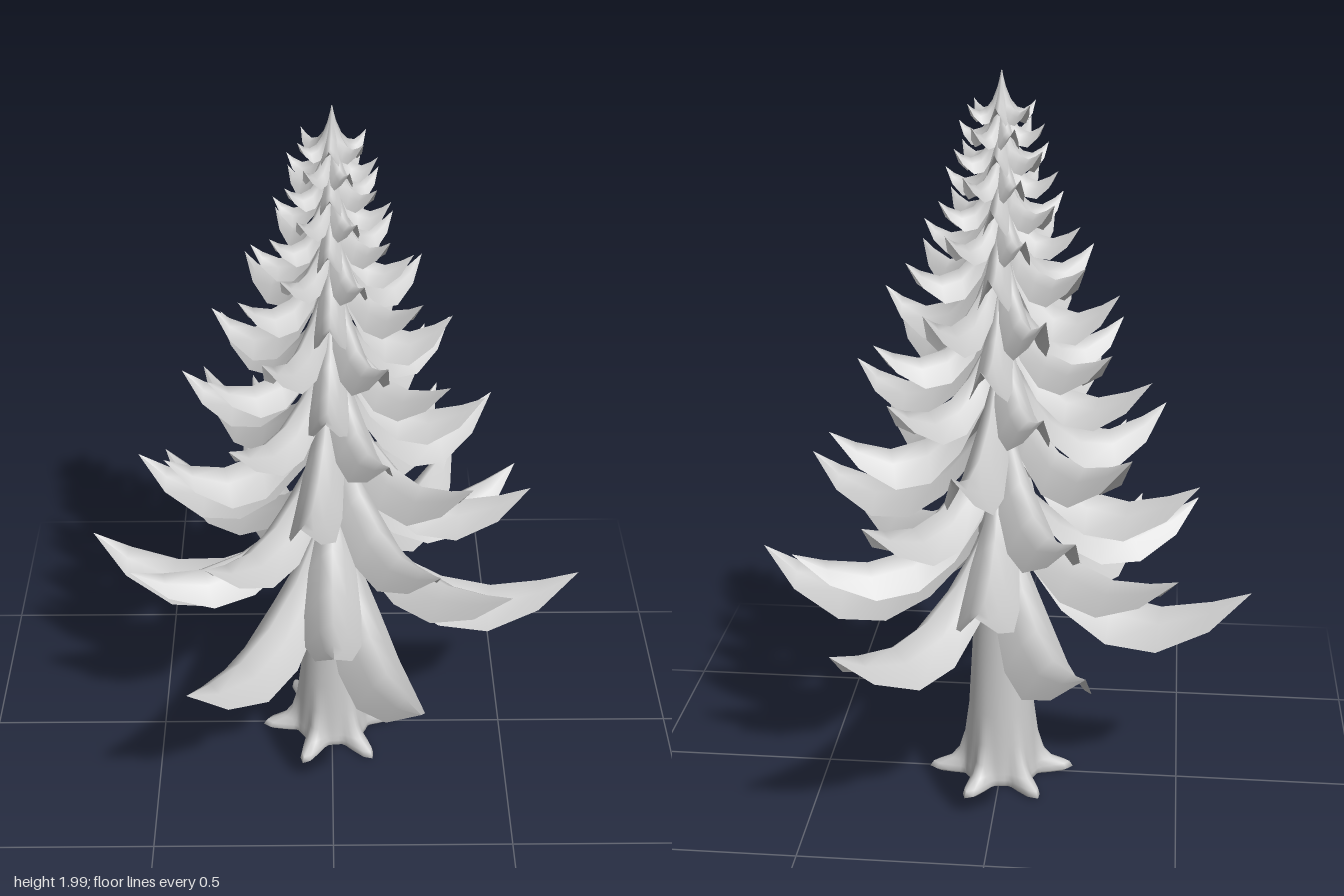
import * as THREE from 'three';
import { mergeVertices } from 'three/addons/utils/BufferGeometryUtils.js';

const ROOT_ANGLE = THREE.MathUtils.degToRad(55);

// Bough outline: distance along (share of reach), ridge and rim height
// (share of depth, measured from the tip), half width (share of widest)
const ALONG = [0, 0.12, 0.27, 0.45, 0.65, 0.85, 1];
const RIDGE = [1.5, 0.72, 0.1, -0.28, -0.4, -0.22, 0];
const RIM = [1.45, 0.25, -0.45, -0.92, -0.98, -0.6, 0];
const WIDTH = [0.08, 0.5, 0.85, 1, 0.97, 0.62, 0];

// Tiers: tip height, reach, depth, first angle in degrees (or all six)
const TIERS = [
  [0.64, 0.69, 0.17, [7, 71.5, 123, 189, 247.5, 303]],
  [0.77, 0.59, 0.14, [37, 90, 156, 215, 271, 334]],
  [0.93, 0.54, 0.15, [9, 60, 127, 189, 245, 305]],
  [1.08, 0.467, 0.16, 40],
  [1.21, 0.405, 0.13, 10],
  [1.32, 0.355, 0.12, 33],
  [1.43, 0.31, 0.13, 4],
  [1.53, 0.265, 0.11, 32],
  [1.61, 0.207, 0.085, 8],
  [1.68, 0.172, 0.08, 34],
  [1.75, 0.147, 0.07, 6],
  [1.81, 0.13, 0.065, 33],
  [1.87, 0.112, 0.06, 8],
  [1.92, 0.092, 0.053, 35],
];

// Arched leaf-like bough pointing along +x, its tip at y = 0
function boughGeometry(reach, depth) {
  const cols = ALONG.length;
  const geo = new THREE.PlaneGeometry(1, 1, cols - 1, 4);
  const pos = geo.attributes.position;
  const half = 0.012 + 0.11 * reach;
  for (let i = 0; i < pos.count; i++) {
    const c = i % cols;
    const side = (Math.floor(i / cols) - 2) / 2;
    const drop = Math.pow(Math.abs(side), 1.5);
    pos.setXYZ(
      i,
      ALONG[c] * reach,
      depth * THREE.MathUtils.lerp(RIDGE[c], RIM[c], drop),
      side * half * WIDTH[c]
    );
  }
  geo.computeVertexNormals();
  return geo;
}

// Tapered trunk whose foot spreads into six roots
function trunkGeometry() {
  // radius, height, root spread
  const rows = [
    [0, 0.008, 0], [0.1, 0.005, 0.09], [0.11, 0.012, 0.095], [0.11, 0.028, 0.085],
    [0.107, 0.045, 0.04], [0.103, 0.075, 0.018], [0.098, 0.13, 0.006], [0.092, 0.22, 0],
    [0.082, 0.4, 0], [0.072, 0.6, 0], [0.055, 0.95, 0], [0.035, 1.4, 0], [0.004, 1.95, 0],
  ];
  const segments = 72;
  let geo = new THREE.LatheGeometry(rows.map(([r, y]) => new THREE.Vector2(r, y)), segments);
  const pos = geo.attributes.position;
  for (let i = 0; i < pos.count; i++) {
    const [radius, , spread] = rows[i % rows.length];
    if (!spread) continue;
    const a = Math.atan2(pos.getZ(i), pos.getX(i));
    const peak = Math.pow((1 + Math.cos(6 * (a - ROOT_ANGLE))) / 2, 3);
    const r = radius + spread * peak;
    pos.setX(i, r * Math.cos(a));
    pos.setZ(i, r * Math.sin(a));
  }
  // weld the seam so the bark shades smoothly
  geo.deleteAttribute('uv');
  geo.deleteAttribute('normal');
  geo = mergeVertices(geo, 1e-5);
  geo.computeVertexNormals();
  return geo;
}

export function createModel() {
  const tree = new THREE.Group();
  tree.name = 'firTree';
  const bark = new THREE.MeshStandardMaterial({ color: 0xcccccc });
  const foliage = new THREE.MeshStandardMaterial({ color: 0xcccccc, side: THREE.DoubleSide });

  const trunk = new THREE.Mesh(trunkGeometry(), bark);
  trunk.name = 'trunk';
  tree.add(trunk);

  // Six boughs per tier, alternate tiers turned by half a step
  TIERS.forEach(([y, reach, depth, turn], t) => {
    const tier = new THREE.Group();
    tier.name = `boughTier${t + 1}`;
    tier.position.y = y;
    const geo = boughGeometry(reach, depth);
    for (let k = 0; k < 6; k++) {
      const degrees = Array.isArray(turn) ? turn[k] : turn + 60 * k;
      const bough = new THREE.Mesh(geo, foliage);
      bough.name = 'bough';
      bough.rotation.y = -THREE.MathUtils.degToRad(degrees);
      tier.add(bough);
    }
    tree.add(tier);
  });

  return tree;
}
